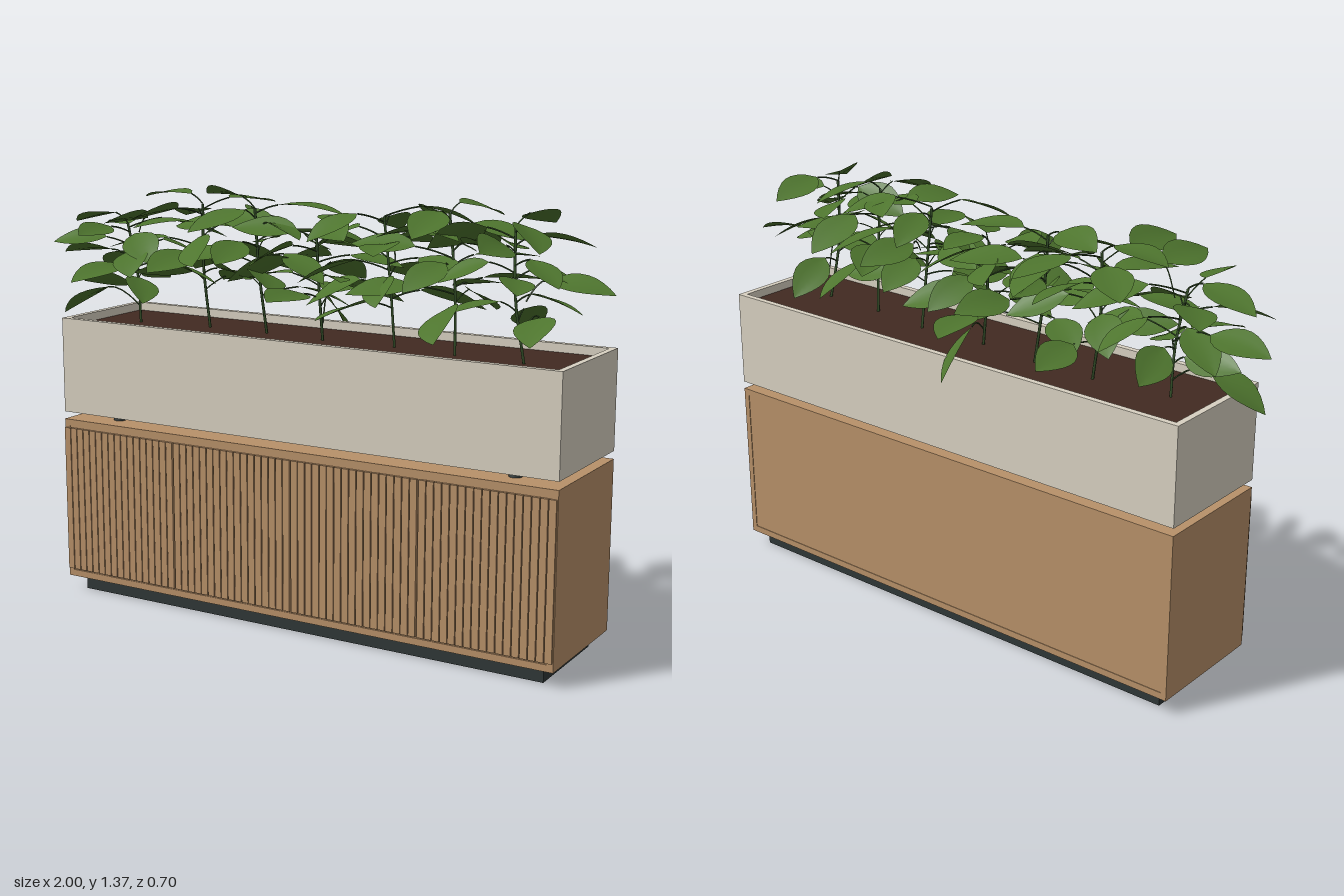
import * as THREE from 'three';
import { mergeGeometries } from 'three/addons/utils/BufferGeometryUtils.js';

const paint = (name, color, extra = {}) => {
  const m = new THREE.MeshStandardMaterial({ color, ...extra });
  m.name = name;
  return m;
};

// small seeded random source
function seeded(seed) {
  let s = seed;
  return (a, b) => {
    s = (s * 16807) % 2147483647;
    return a + (b - a) * (s / 2147483647);
  };
}

// box given by its lower and upper corners
function slab(x0, x1, y0, y1, z0, z1) {
  const g = new THREE.BoxGeometry(x1 - x0, y1 - y0, z1 - z0);
  return g.translate((x0 + x1) / 2, (y0 + y1) / 2, (z0 + z1) / 2);
}

// pointed oval leaf along +x, folded at the midrib and arching down
function leafGeometry(length, width, arch) {
  const g = new THREE.PlaneGeometry(1, 1, 8, 4).rotateX(-Math.PI / 2);
  const p = g.attributes.position;
  for (let i = 0; i < p.count; i++) {
    const t = p.getX(i) + 0.5;
    const u = p.getZ(i) * 2;
    const w = Math.pow(Math.max(0, Math.sin(Math.PI * Math.pow(t, 0.85))), 0.9) * width / 2;
    p.setXYZ(i, t * length, Math.abs(u) * w * 0.12 + arch * length * (0.6 * t - t * t), u * w);
  }
  g.computeVertexNormals();
  return g;
}

function createPlant([x, z, top, reach, count, turn], seed, leafMat, stemMat) {
  const rnd = seeded(seed);
  const plant = new THREE.Group();
  plant.name = 'plant';
  const base = new THREE.Vector3(x, 0.9, z);
  const tip = new THREE.Vector3(x + rnd(-0.03, 0.03), top, z + rnd(-0.03, 0.03));
  const mid = base.clone().lerp(tip, 0.5).add(new THREE.Vector3(rnd(-0.015, 0.015), 0, rnd(-0.015, 0.015)));
  const stem = new THREE.CatmullRomCurve3([base, mid, tip]);
  const stems = [new THREE.TubeGeometry(stem, 8, 0.0045, 6)];
  const leaves = [];

  for (let i = 0; i < count; i++) {
    const f = i / (count - 1);
    const az = turn + i * 2.4 + rnd(-0.4, 0.4);
    const start = stem.getPoint(0.32 + 0.68 * Math.pow(f, 0.85));
    const out = rnd(0.03, 0.125) * reach;
    const dir = new THREE.Vector3(Math.cos(az), 0, -Math.sin(az));
    const end = start.clone().addScaledVector(dir, out);
    end.y += 0.03;
    const bend = start.clone().lerp(end, 0.5);
    bend.y += 0.008;
    stems.push(new THREE.TubeGeometry(new THREE.QuadraticBezierCurve3(start, bend, end), 4, 0.0025, 4));

    const length = rnd(0.175, 0.225) * (0.6 + 0.4 * reach);
    const g = leafGeometry(length, length * rnd(0.54, 0.62), rnd(0.05, 0.2));
    g.rotateX(rnd(-0.6, 0.6));
    g.rotateZ(rnd(-0.42, 0.04) + 0.06 * f);
    g.rotateY(az).translate(end.x, end.y, end.z);
    leaves.push(g);
  }
  const foliage = new THREE.Mesh(mergeGeometries(leaves), leafMat);
  foliage.name = 'leaves';
  const stalks = new THREE.Mesh(mergeGeometries(stems), stemMat);
  stalks.name = 'stems';
  plant.add(foliage, stalks);
  return plant;
}

export function createModel() {
  const wood = paint('oak wood', 0xb89169);
  const stone = paint('pale concrete', 0xd8d1c1);
  const dark = paint('dark metal', 0x2f3737);
  const earth = paint('soil', 0x412a21);
  const leafMat = paint('leaf green', 0x4e752e, { side: THREE.DoubleSide });
  const stemMat = paint('stem green', 0x36522a);

  const model = new THREE.Group();
  model.name = 'planterCabinet';
  const add = (name, geometry, material, parent = model) => {
    const m = new THREE.Mesh(geometry, material);
    m.name = name;
    parent.add(m);
  };

  const L = -0.832, R = 0.936, B = -0.22, F = 0.203;

  // cabinet carcass
  const cabinet = new THREE.Group();
  cabinet.name = 'cabinet';
  model.add(cabinet);
  add('plinth', slab(-0.787, 0.892, 0, 0.05, -0.185, 0.167), dark, cabinet);
  add('bottomBoard', slab(L, R, 0.05, 0.072, B, F), wood, cabinet);
  add('topBoard', slab(L, R, 0.573, 0.595, B, F), wood, cabinet);
  add('rightSide', slab(L, L + 0.02, 0.072, 0.573, B, F), wood, cabinet);
  add('leftSide', slab(R - 0.02, R, 0.072, 0.573, B, F), wood, cabinet);
  add('core', slab(L + 0.02, R - 0.02, 0.072, 0.573, B + 0.002, 0.2), wood, cabinet);

  // four doors faced with narrow upright slats
  const doorWidth = (R - L) / 4;
  const count = 17, gap = 0.003;
  const slatWidth = (doorWidth - 0.006 - gap * (count - 1)) / count;
  for (let d = 0; d < 4; d++) {
    const slats = [];
    for (let i = 0; i < count; i++) {
      const x = L + d * doorWidth + 0.003 + i * (slatWidth + gap);
      slats.push(slab(x, x + slatWidth, 0.078, 0.567, 0.198, 0.21));
    }
    add('slattedDoor', mergeGeometries(slats), wood, cabinet);
  }

  // feet between cabinet and trough
  for (const x of [-0.665, 0.767])
    for (const z of [0.122, -0.14])
      add('foot', new THREE.CylinderGeometry(0.016, 0.021, 0.03, 16).translate(x, 0.608, z), dark);

  // open trough
  const rect = (P, x0, x1, y0, y1) => {
    const s = new P();
    s.moveTo(x0, y0);
    s.lineTo(x1, y0);
    s.lineTo(x1, y1);
    s.lineTo(x0, y1);
    s.closePath();
    return s;
  };
  const rim = rect(THREE.Shape, L, R, -0.202, 0.22);
  rim.holes.push(rect(THREE.Path, L + 0.02, R - 0.02, -0.182, 0.2));
  const walls = new THREE.ExtrudeGeometry(rim, { depth: 0.315, bevelEnabled: false });
  walls.rotateX(-Math.PI / 2).translate(0, 0.62, 0);
  add('troughWalls', walls, stone);
  add('troughFloor', slab(L + 0.02, R - 0.02, 0.62, 0.645, -0.2, 0.182), dark);
  add('soil', slab(L + 0.02, R - 0.02, 0.645, 0.908, -0.2, 0.182), earth);

  // plants: x, z, stem top, reach, leaf count, starting angle
  const plants = [
    [-0.66, 0.0, 1.24, 1.06, 14, 3.2],
    [-0.4, -0.03, 1.31, 1.05, 15, 1.2],
    [-0.18, -0.03, 1.31, 1.05, 15, 0.4],
    [0.04, -0.01, 1.25, 1.0, 14, 2.2],
    [0.29, -0.02, 1.31, 1.03, 15, 4.4],
    [0.51, 0.01, 1.33, 1.05, 15, 5.3],
    [0.74, 0.02, 1.31, 0.8, 14, 1.7],
  ];
  const planting = new THREE.Group();
  planting.name = 'planting';
  plants.forEach((p, i) => planting.add(createPlant(p, 4211 + i * 977, leafMat, stemMat)));
  model.add(planting);

  // outer leaves: base x, y, z, angle, tilt, roll
  const outer = [
    [-0.78, 1.02, 0.02, 3.2, -0.45, 0.1],
    [-0.8, 1.14, -0.03, 3.1, -0.05, 0.3],
    [0.79, 1.15, -0.02, 0.1, -0.1, 0.3],
    [0.84, 1.07, 0.15, -1.3, -0.2, 0.2],
    [-0.03, 1.02, -0.15, 1.6, -0.65, 0.7],
    [-0.32, 1.28, -0.15, 1.7, -0.15, 0.3],
    [0.22, 1.23, -0.13, 1.4, -0.1, -0.4],
    [-0.55, 1.27, 0.1, -1.7, 0.05, 0.4],
  ];
  const low = outer.map(([x, y, z, az, tilt, roll]) =>
    leafGeometry(0.205, 0.12, 0.15).rotateX(roll).rotateZ(tilt).rotateY(az).translate(x, y, z));
  add('outerLeaves', mergeGeometries(low), leafMat, planting);
  const stalks = outer.map(([x, y, z]) => {
    const near = plants.reduce((a, b) => (Math.abs(b[0] - x) < Math.abs(a[0] - x) ? b : a));
    const a = new THREE.Vector3(near[0], y - 0.06, near[1]);
    const b = new THREE.Vector3(x, y, z);
    const c = a.clone().lerp(b, 0.6).setY(y + 0.01);
    return new THREE.TubeGeometry(new THREE.QuadraticBezierCurve3(a, c, b), 5, 0.0025, 4);
  });
  add('outerStalks', mergeGeometries(stalks), stemMat, planting);
  return model;
}
